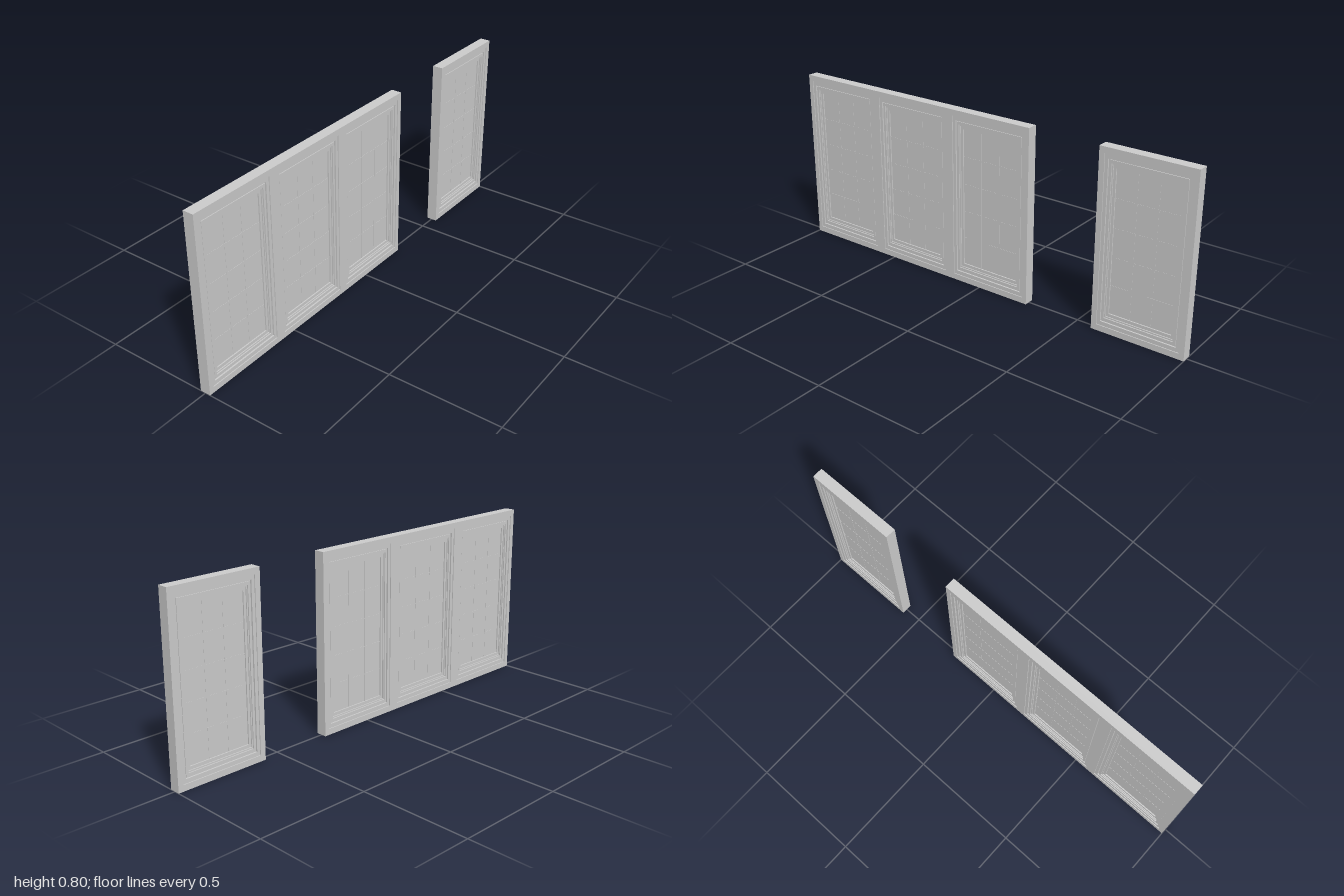
import * as THREE from 'three';

const H = 0.797, DEPTH = 0.048, CY = H / 2;
const OPEN_W = 0.372, OPEN_H = 0.743;

const frameMat = new THREE.MeshStandardMaterial({ color: 0xcccccc, flatShading: true });

function trace(target, cx, cy, w, h) {
  target.moveTo(cx - w / 2, cy - h / 2);
  target.lineTo(cx + w / 2, cy - h / 2);
  target.lineTo(cx + w / 2, cy + h / 2);
  target.lineTo(cx - w / 2, cy + h / 2);
  target.closePath();
  return target;
}

// Flat slab with rectangular openings, centred on z = 0
function slab(name, outer, holes, depth) {
  const shape = trace(new THREE.Shape(), ...outer);
  holes.forEach(h => shape.holes.push(trace(new THREE.Path(), ...h)));
  const geo = new THREE.ExtrudeGeometry(shape, { depth, bevelEnabled: false });
  geo.translate(0, 0, -depth / 2);
  const mesh = new THREE.Mesh(geo, frameMat);
  mesh.name = name;
  return mesh;
}

function box(name, w, h, d, x, y) {
  const mesh = new THREE.Mesh(new THREE.BoxGeometry(w, h, d), frameMat);
  mesh.name = name;
  mesh.position.set(x, y, 0);
  return mesh;
}

// Stepped mouldings: [outer inset, inner inset, depth], x insets slightly narrower than y
const STEPS = [
  ['jamb', 0, 0.018, 0.040],
  ['sashGroove', 0.018, 0.023, 0.026],
  ['sash', 0.023, 0.036, 0.034],
  ['sashLip', 0.036, 0.042, 0.024],
  ['glazingBead', 0.042, 0.056, 0.015],
];

function windowUnit(cx) {
  const unit = new THREE.Group();
  unit.name = 'windowUnit';
  const rect = i => [cx, CY, OPEN_W - 1.6 * i, OPEN_H - 2 * i];
  for (const [name, a, b, d] of STEPS) unit.add(slab(name, rect(a), [rect(b)], d));

  // Glass pane with a three by five grid of thin glazing bars
  const [, , w, h] = rect(0.056);
  unit.add(box('glass', w, h, 0.004, cx, CY));
  for (let i = 1; i < 3; i++)
    unit.add(box('verticalBar', 0.004, h, 0.006, cx - w / 2 + (w * i) / 3, CY));
  for (let j = 1; j < 5; j++)
    unit.add(box('horizontalBar', w, 0.004, 0.0056, cx, CY - h / 2 + (h * j) / 5));
  return unit;
}

// Outer frame around one or more window units
function windowSet(name, x0, x1, centres) {
  const set = new THREE.Group();
  set.name = name;
  set.add(slab('outerFrame', [(x0 + x1) / 2, CY, x1 - x0, H],
    centres.map(c => [c, CY, OPEN_W, OPEN_H]), DEPTH));
  centres.forEach(c => set.add(windowUnit(c)));
  return set;
}

export function createModel() {
  const model = new THREE.Group();
  model.name = 'windows';
  model.add(windowSet('tripleWindow', -1, 0.253, [-0.7915, -0.3735, 0.0445]));
  model.add(windowSet('singleWindow', 0.579, 1, [0.7895]));
  return model;
}
